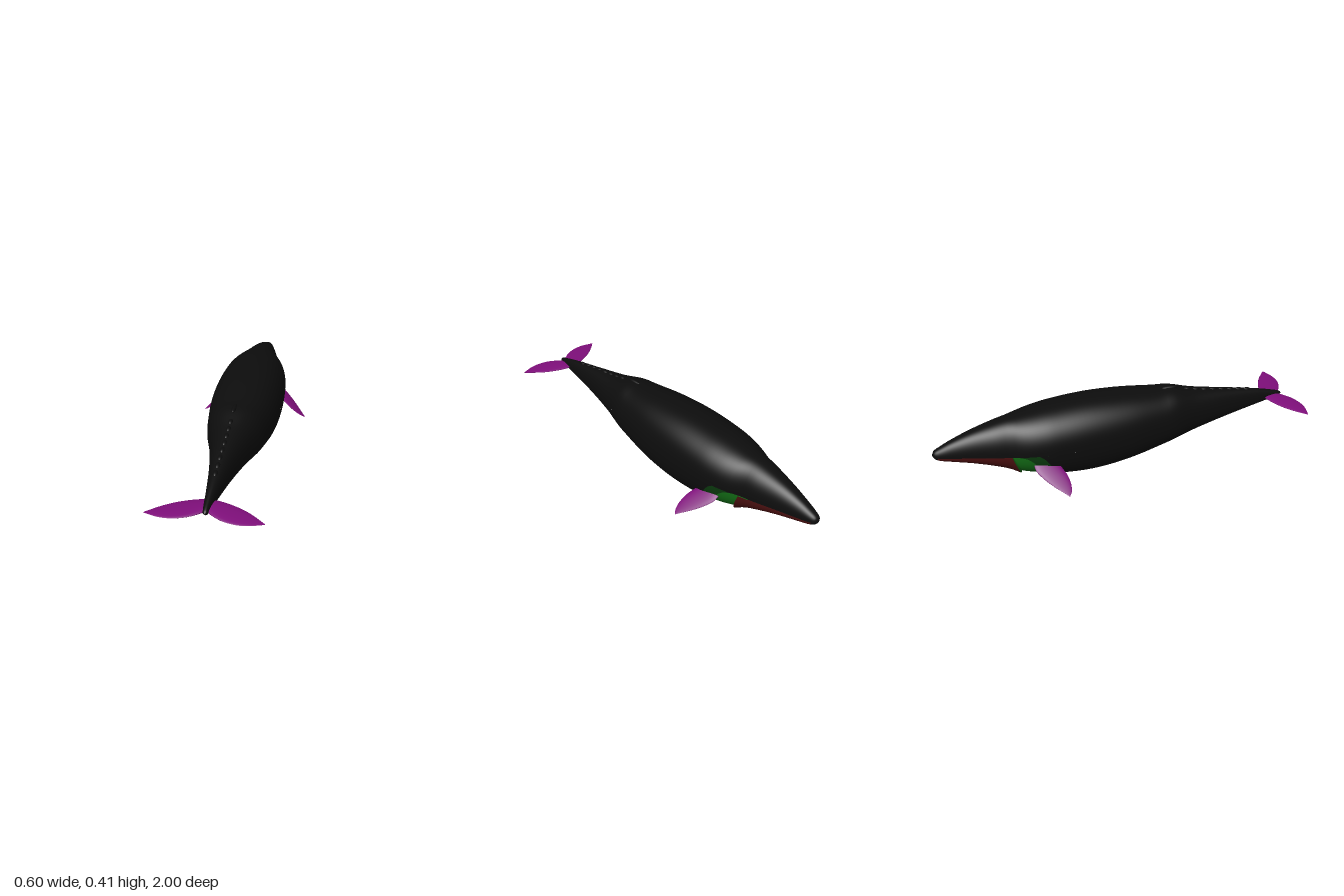
import * as THREE from 'three';

// Body profile: z, top, bottom, half width, height of the widest line
const PROFILE = [
  [-1, 0.22, 0.216, 0.001, 0.218], [-0.99, 0.237, 0.199, 0.019, 0.215], [-0.965, 0.252, 0.186, 0.031, 0.21],
  [-0.9, 0.282, 0.17, 0.048, 0.207], [-0.8, 0.318, 0.146, 0.073, 0.203], [-0.68, 0.35, 0.108, 0.103, 0.197],
  [-0.62, 0.362, 0.08, 0.116, 0.196], [-0.57, 0.369, 0.053, 0.14, 0.2], [-0.5, 0.381, 0.034, 0.163, 0.205],
  [-0.4, 0.395, 0.015, 0.18, 0.207], [-0.2, 0.408, 0, 0.188, 0.21], [0, 0.402, 0.022, 0.18, 0.21],
  [0.2, 0.383, 0.066, 0.152, 0.215], [0.27, 0.38, 0.083, 0.138, 0.217], [0.4, 0.347, 0.11, 0.1, 0.22],
  [0.6, 0.312, 0.147, 0.057, 0.22], [0.8, 0.273, 0.185, 0.028, 0.22], [0.9, 0.247, 0.204, 0.017, 0.22],
  [0.94, 0.233, 0.211, 0.01, 0.22], [0.95, 0.222, 0.218, 0.001, 0.22],
];

// Smooth interpolation of one profile column
function sample(table, x, col) {
  const n = table.length;
  let i = 0;
  while (i < n - 2 && x > table[i + 1][0]) i++;
  const slope = k => {
    const a = table[Math.max(k - 1, 0)], b = table[Math.min(k + 1, n - 1)];
    return (b[col] - a[col]) / (b[0] - a[0]);
  };
  const p = table[i], q = table[i + 1], h = q[0] - p[0];
  const t = THREE.MathUtils.clamp((x - p[0]) / h, 0, 1), t2 = t * t, t3 = t2 * t;
  return (2 * t3 - 3 * t2 + 1) * p[col] + (t3 - 2 * t2 + t) * h * slope(i)
    + (3 * t2 - 2 * t3) * q[col] + (t3 - t2) * h * slope(i + 1);
}

// Point on the skin at length z and angle a, scaled about the widest line
function skin(z, a, scale = 1) {
  const c = Math.cos(a), s = Math.sin(a);
  const mid = sample(PROFILE, z, 4);
  const edge = sample(PROFILE, z, s >= 0 ? 1 : 2);
  const round = v => Math.sign(v) * Math.abs(v) ** 0.88;
  return [sample(PROFILE, z, 3) * round(c) * scale, mid + Math.abs(edge - mid) * round(s) * scale, z];
}

// Grid surface from a rule point(u, v), both 0..1
function surface(point, nu, nv, flip = false) {
  const pos = [], index = [];
  for (let i = 0; i <= nu; i++)
    for (let j = 0; j <= nv; j++) pos.push(...point(i / nu, j / nv));
  for (let i = 0; i < nu; i++)
    for (let j = 0; j < nv; j++) {
      const a = i * (nv + 1) + j, b = a + 1, c = a + nv + 1, d = c + 1;
      if (flip) index.push(a, c, b, b, c, d);
      else index.push(a, b, c, b, d, c);
    }
  const g = new THREE.BufferGeometry();
  g.setAttribute('position', new THREE.Float32BufferAttribute(pos, 3));
  g.setIndex(index);
  g.computeVertexNormals();
  return g;
}

// Thin fin; rows are span, leading z, trailing z, half thickness
function finGeometry(rows, side, root, dir) {
  const first = rows[0][0], last = rows[rows.length - 1][0];
  return surface((t, v) => {
    const u = first + (last - first) * Math.sin(t * Math.PI / 2);
    const [lead, trail, thick] = [1, 2, 3].map(c => sample(rows, u, c));
    const b = v * Math.PI * 2, h = thick * Math.sin(b);
    return [
      side * (root[0] + dir[0] * u - dir[1] * h),
      root[1] + dir[1] * u + dir[0] * h,
      (lead + trail) / 2 + (trail - lead) / 2 * Math.cos(b),
    ];
  }, 24, 20, side > 0);
}

export function createModel() {
  const group = new THREE.Group();
  group.name = 'whale';
  const material = (name, color, side = THREE.FrontSide) => {
    const m = new THREE.MeshStandardMaterial({ color, side });
    m.name = name;
    return m;
  };
  const black = material('black skin', 0x0d0d0d);
  const red = material('dark red jaw', 0x4a1010, THREE.DoubleSide);
  const green = material('green throat', 0x126a15, THREE.DoubleSide);
  const darkGreen = material('dark green rim', 0x0b3a0e, THREE.DoubleSide);
  const purple = material('purple fin', 0x800f7c);
  const add = (name, geometry, mat) => {
    const m = new THREE.Mesh(geometry, mat);
    m.name = name;
    group.add(m);
    return m;
  };

  // Back: the whole upper half
  const ease = t => (1 - Math.cos(t * Math.PI)) / 2;
  add('back', surface((t, v) => skin(-1 + 1.95 * ease(t), v * Math.PI), 110, 40), black);

  // Lower half, cut by curved edges; s is 0 at the side and 1 at the keel
  const noseEnd = () => -0.975;
  const jawEnd = s => -0.62 + 0.05 * s;
  const throatEnd = s => -0.6 + 0.15 * s ** 0.4;
  const rimEnd = s => -0.49 + 0.11 * s ** 0.6;
  const lower = (name, from, to, scale, rows, mat) => add(name, surface((t, v) => {
    const a = Math.PI * (1 + v), s = Math.abs(Math.sin(a));
    return skin(THREE.MathUtils.lerp(from(s), to(s), t), a, scale(t));
  }, rows, 48), mat);
  lower('noseTip', () => -1, noseEnd, () => 1, 10, black);
  lower('lowerJaw', noseEnd, jawEnd, t => 1 + 0.05 * t * t, 36, red);
  lower('throat', jawEnd, throatEnd, t => t === 0 ? 1.05 : 0.95 + 0.02 * t, 24, green);
  lower('throatRim', throatEnd, rimEnd, t => 0.97 + 0.03 * t, 8, darkGreen);
  lower('belly', rimEnd, () => 0.95, () => 1, 80, black);

  // Small dorsal hump and the knuckles behind it
  const bump = (name, z, height, length) => {
    const m = add(name, new THREE.SphereGeometry(1, 16, 10), black);
    m.scale.set(0.012, height, length);
    m.position.set(0, sample(PROFILE, z, 1) - height * 0.45, z);
  };
  bump('dorsalHump', 0.26, 0.012, 0.05);
  for (let i = 0; i < 8; i++) bump('knuckle', 0.36 + i * 0.052, 0.011, 0.024);

  // Flippers and tail flukes, mirrored
  const flipper = [
    [-0.05, -0.52, -0.4, 0.011], [0, -0.515, -0.385, 0.01], [0.05, -0.485, -0.365, 0.008],
    [0.1, -0.443, -0.358, 0.005], [0.14, -0.403, -0.364, 0.002], [0.163, -0.38, -0.378, 0.0005],
  ];
  const fluke = [
    [0.004, 0.838, 0.925, 0.01], [0.03, 0.838, 0.95, 0.01], [0.08, 0.852, 0.982, 0.009],
    [0.14, 0.879, 0.998, 0.007], [0.19, 0.912, 0.996, 0.005], [0.235, 0.951, 0.983, 0.002],
    [0.257, 0.972, 0.975, 0.0005],
  ];
  for (const side of [1, -1]) {
    const label = side > 0 ? 'left' : 'right';
    add(label + 'Flipper', finGeometry(flipper, side, [0.17, 0.125], [0.81, -0.586]), purple);
    add(label + 'Fluke', finGeometry(fluke, side, [0, 0.22], [1, 0]), purple);
  }
  return group;
}
